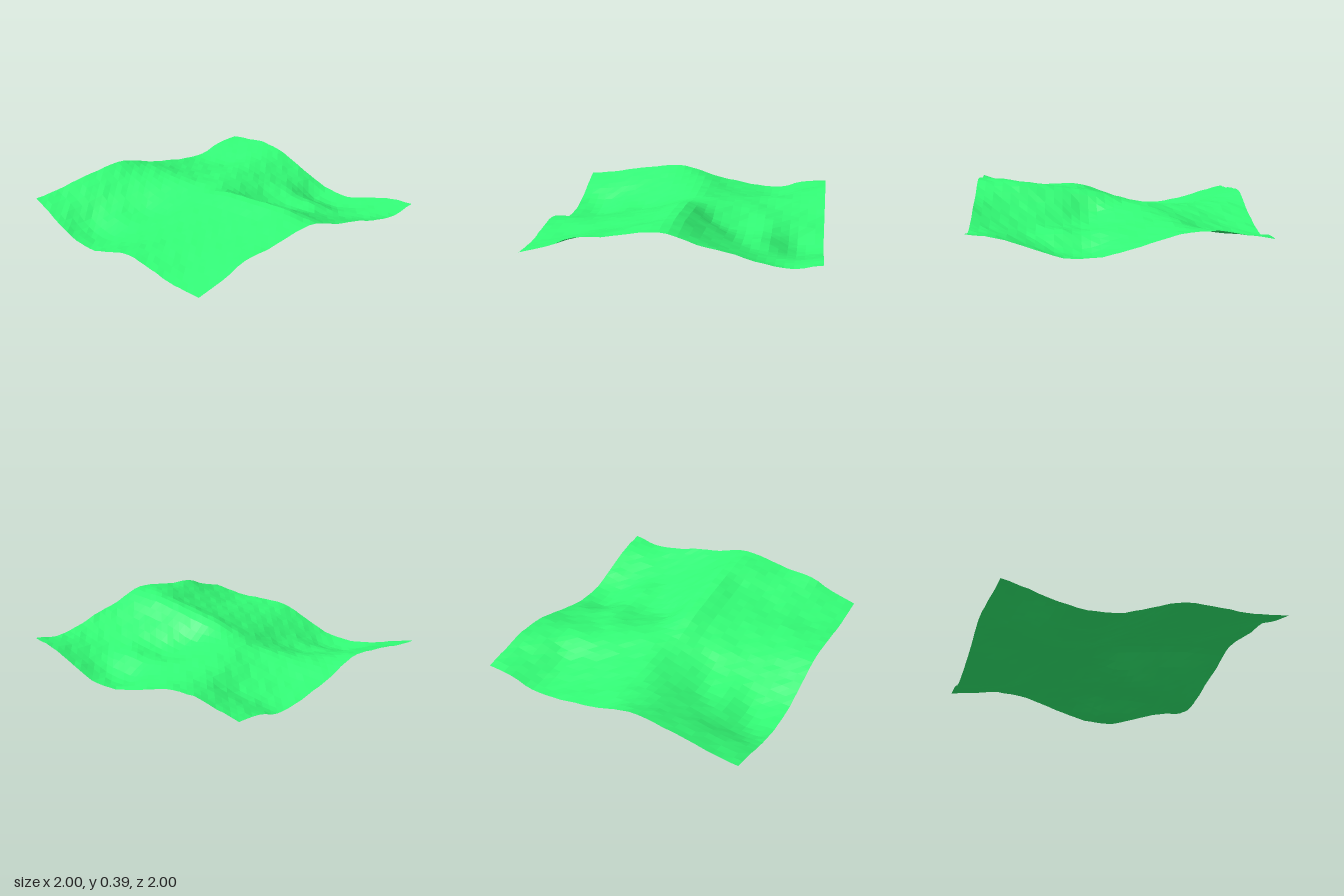
import * as THREE from 'three';

// Terrain heights in hundredths: rows run back to front, columns left to right, every 0.2
const HEIGHTS = [
  [15, 17, 21, 23.7, 25, 19.5, 14.5, 11, 9.5, 15, 17],
  [10, 12, 15, 18, 20, 19.5, 14.5, 11.5, 11, 16, 20],
  [4, 3, 8, 12, 17, 19.5, 16.5, 14.5, 14, 19, 23],
  [1.5, 0, 6, 8, 15, 20.5, 19.5, 19.5, 20, 20.5, 21],
  [3.5, 4, 8, 11, 17, 22.5, 23, 21, 18, 16, 15.5],
  [10, 11.5, 14, 18, 22.5, 27, 21, 17, 16, 12, 9.5],
  [17.5, 17.5, 19, 22, 26, 31.5, 18.5, 12.5, 13, 4.5, 5.5],
  [18.5, 19.5, 21.5, 24.5, 29, 34, 24, 14.5, 14, 5, 7],
  [17.5, 19, 22.5, 26.5, 31.5, 37, 26.5, 18, 13, 10.5, 13.5],
  [18, 21.5, 27, 31.5, 36.5, 38.5, 29, 21.5, 17, 17, 20],
  [20, 26, 33, 34.5, 38.5, 38.5, 32, 28, 22, 19.5, 23],
];

// Catmull-Rom interpolation along a list, t in list steps
function sample(list, t) {
  const last = list.length - 1;
  const i = Math.min(Math.floor(t), last - 1);
  const f = t - i;
  const b = list[i], c = list[i + 1];
  const a = i > 0 ? list[i - 1] : 2 * b - c;
  const d = i + 2 <= last ? list[i + 2] : 2 * c - b;
  return b + 0.5 * f * (c - a + f * (2 * a - 5 * b + 4 * c - d + f * (3 * (b - c) + d - a)));
}

// Gentle ripple that gives the facets a rocky variation
function ripple(x, z) {
  return 0.003 * Math.sin(15 * x + 4 * z + 1) * Math.sin(17 * z - 5 * x)
    + 0.003 * Math.sin(31 * x - 9 * z) * Math.cos(37 * z + 8 * x);
}

function heightAt(x, z) {
  const column = HEIGHTS.map((row) => sample(row, (x + 1) * 5));
  return sample(column, (z + 1) * 5) / 100 + ripple(x, z);
}

export function createModel() {
  const group = new THREE.Group();
  group.name = 'landscape';

  // Square sheet raised into hills and valleys
  const geometry = new THREE.PlaneGeometry(2, 2, 32, 32).rotateX(-Math.PI / 2);
  const pos = geometry.attributes.position;
  for (let i = 0; i < pos.count; i++) {
    pos.setY(i, heightAt(pos.getX(i), pos.getZ(i)));
  }

  // Rest the lowest point on the ground
  geometry.computeBoundingBox();
  geometry.translate(0, -geometry.boundingBox.min.y, 0);
  geometry.computeVertexNormals();

  const grass = new THREE.MeshStandardMaterial({
    color: 0x33ff77,
    flatShading: true,
    side: THREE.DoubleSide,
  });
  const terrain = new THREE.Mesh(geometry, grass);
  terrain.name = 'terrain';
  group.add(terrain);
  return group;
}
